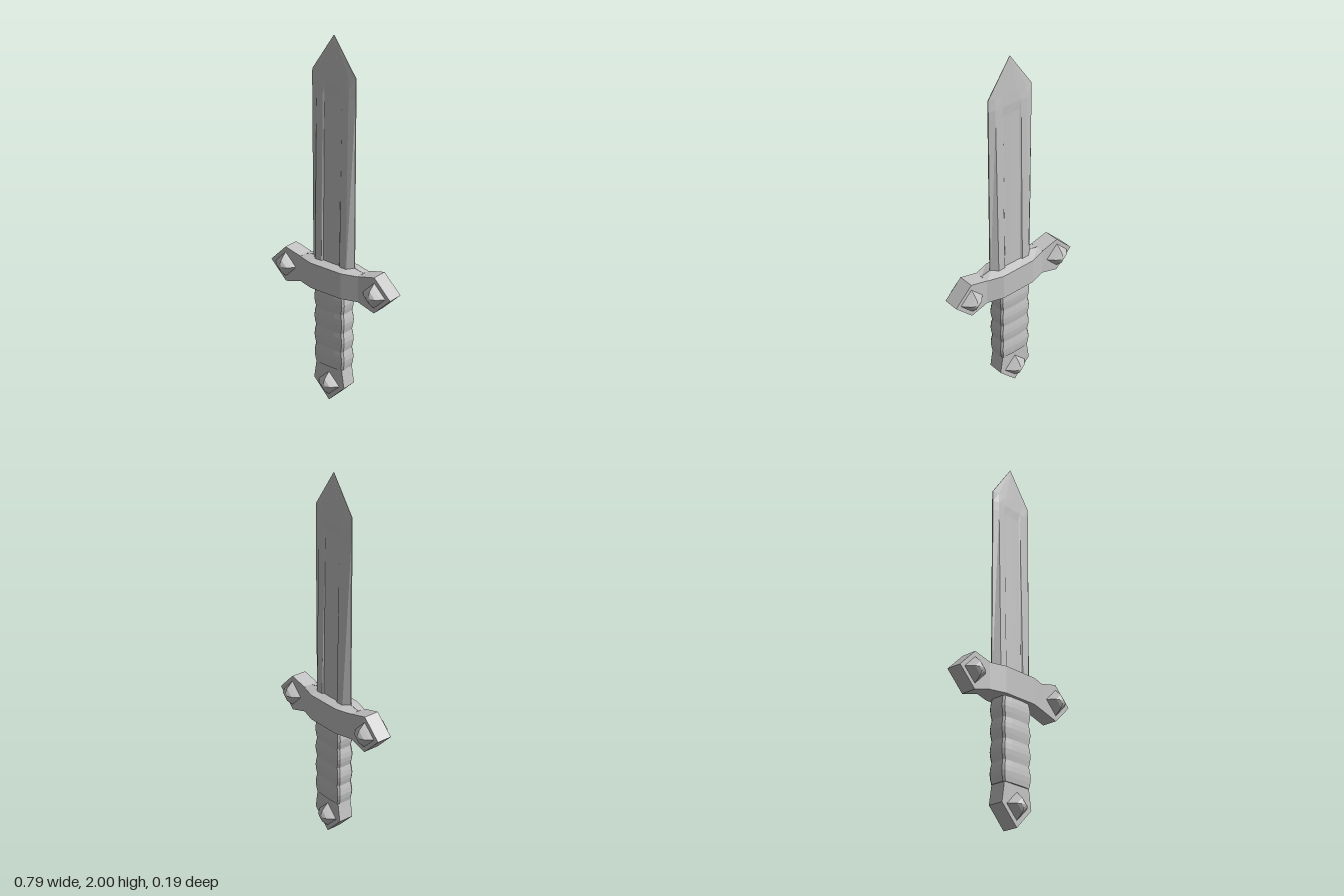
import * as THREE from 'three';

const steel = new THREE.MeshStandardMaterial({ color: 0xc4c4c4 });
steel.name = 'grey steel';

// Mirrors a quarter section, listed from the +x edge to x = 0, into a full ring.
// Points are [x, z] or [x, z, y].
function ring(y, quarter) {
  const point = (p, sx, sz) => new THREE.Vector3(sx * p[0], p[2] ?? y, sz * p[1]);
  const back = quarter.slice().reverse().slice(1);
  return [
    ...quarter.map(p => point(p, 1, -1)),
    ...back.map(p => point(p, -1, -1)),
    ...quarter.map(p => point(p, -1, 1)),
    ...back.map(p => point(p, 1, 1)),
  ];
}

// Faceted skin over rings stacked upwards, closed at both ends.
function loft(rings) {
  const n = rings[0].length, pts = [], index = [];
  rings.forEach(r => pts.push(...r));
  for (let i = 0; i < rings.length - 1; i++) {
    for (let j = 0; j < n; j++) {
      const a = i * n + j, b = i * n + (j + 1) % n;
      index.push(a, b, b + n, a, b + n, a + n);
    }
  }
  const middle = r => r.reduce((s, p) => s.add(p), new THREE.Vector3()).divideScalar(n);
  const last = (rings.length - 1) * n, bottom = pts.length, top = bottom + 1;
  pts.push(middle(rings[0]), middle(rings[rings.length - 1]));
  for (let j = 0; j < n; j++) {
    const k = (j + 1) % n;
    index.push(bottom, k, j, top, last + j, last + k);
  }
  const indexed = new THREE.BufferGeometry().setFromPoints(pts);
  indexed.setIndex(index);
  const flat = indexed.toNonIndexed();
  flat.computeVertexNormals();
  return flat;
}

// Flat plate from an outline, centred on z = 0.
function plate(points, halfDepth) {
  const shape = new THREE.Shape(points.map(p => new THREE.Vector2(p[0], p[1])));
  const geo = new THREE.ExtrudeGeometry(shape, { depth: 2 * halfDepth, bevelEnabled: false });
  return geo.translate(0, 0, -halfDepth);
}

export function createModel() {
  const group = new THREE.Group();
  const add = (name, geo) => {
    const mesh = new THREE.Mesh(geo, steel);
    mesh.name = name;
    group.add(mesh);
    return mesh;
  };

  // Blade with bevelled edges and a shallow fuller that closes below the point
  const bladeRing = (y, z, fuller) => ring(y, [
    [0.135, 0.003], [0.1, z], [0.06, z], [0.052, z * (1 - 0.25 * fuller)], [0, z * (1 - 0.2 * fuller)],
  ]);
  add('blade', loft([
    bladeRing(0.7, 0.033, 1),
    bladeRing(1.7, 0.014, 1),
    bladeRing(1.75, 0.013, 0),
    ring(1.81, [[0.135, 0.002], [0.095, 0.007], [0.05, 0.01], [0.04, 0.0105], [0, 0.011]]),
    ring(2, [[0.001, 0.0005], [0.0008, 0.0006], [0.0005, 0.0008], [0.0003, 0.0009], [0, 0.001]]),
  ]));

  // Crossguard with a ridged top
  const guard = [[0.19, 0.043], [0.1, 0.07], [0, 0.07]];
  add('crossguard', loft([
    ring(0.65, guard),
    ring(0.793, guard),
    ring(0.815, [[0.19, 0.001, 0.797], [0.12, 0.001, 0.812], [0, 0.001]]),
  ]));

  // Diamond ends of the crossguard
  for (const s of [1, -1]) {
    add(s > 0 ? 'leftGuardEnd' : 'rightGuardEnd', plate(
      [[0.19, 0.65], [0.292, 0.62], [0.393, 0.72], [0.292, 0.82], [0.19, 0.795]].map(([x, y]) => [s * x, y]),
      0.043));
  }

  // Grip made of four bulging bands
  const gripRing = (y, k) => ring(y, [
    [0.1 * k, 0.04 * k], [0.091 * k, 0.051 * k], [0.045 * k, 0.056 * k], [0, 0.057 * k],
  ]);
  const bandHeight = 0.11;
  for (let i = 0; i < 4; i++) {
    const y = 0.21 + i * bandHeight;
    add('gripBand' + (i + 1), loft(
      [[0, 0.91], [0.25, 0.97], [0.5, 1], [0.75, 0.97], [1, 0.91]]
        .map(([t, k]) => gripRing(y + t * bandHeight, k))));
  }

  // Pommel
  add('pommel', plate([[-0.085, 0.215], [-0.102, 0.105], [0, 0], [0.102, 0.105], [0.085, 0.215]], 0.043));

  // Four-sided studs on both faces of the pommel and guard ends
  const profile = [[0.07, 0], [0.055, 0.017], [0.036, 0.037], [0.016, 0.047], [0, 0.05]]
    .map(([r, h]) => new THREE.Vector2(r, h));
  const stud = new THREE.LatheGeometry(profile, 4).toNonIndexed();
  stud.computeVertexNormals();
  for (const [name, x, y] of [['leftStud', 0.292, 0.72], ['rightStud', -0.292, 0.72], ['pommelStud', 0, 0.105]]) {
    for (const s of [1, -1]) {
      const mesh = add(name + (s > 0 ? 'Front' : 'Back'), stud);
      mesh.position.set(x, y, s * 0.043);
      mesh.rotation.x = s * Math.PI / 2;
    }
  }

  return group;
}
